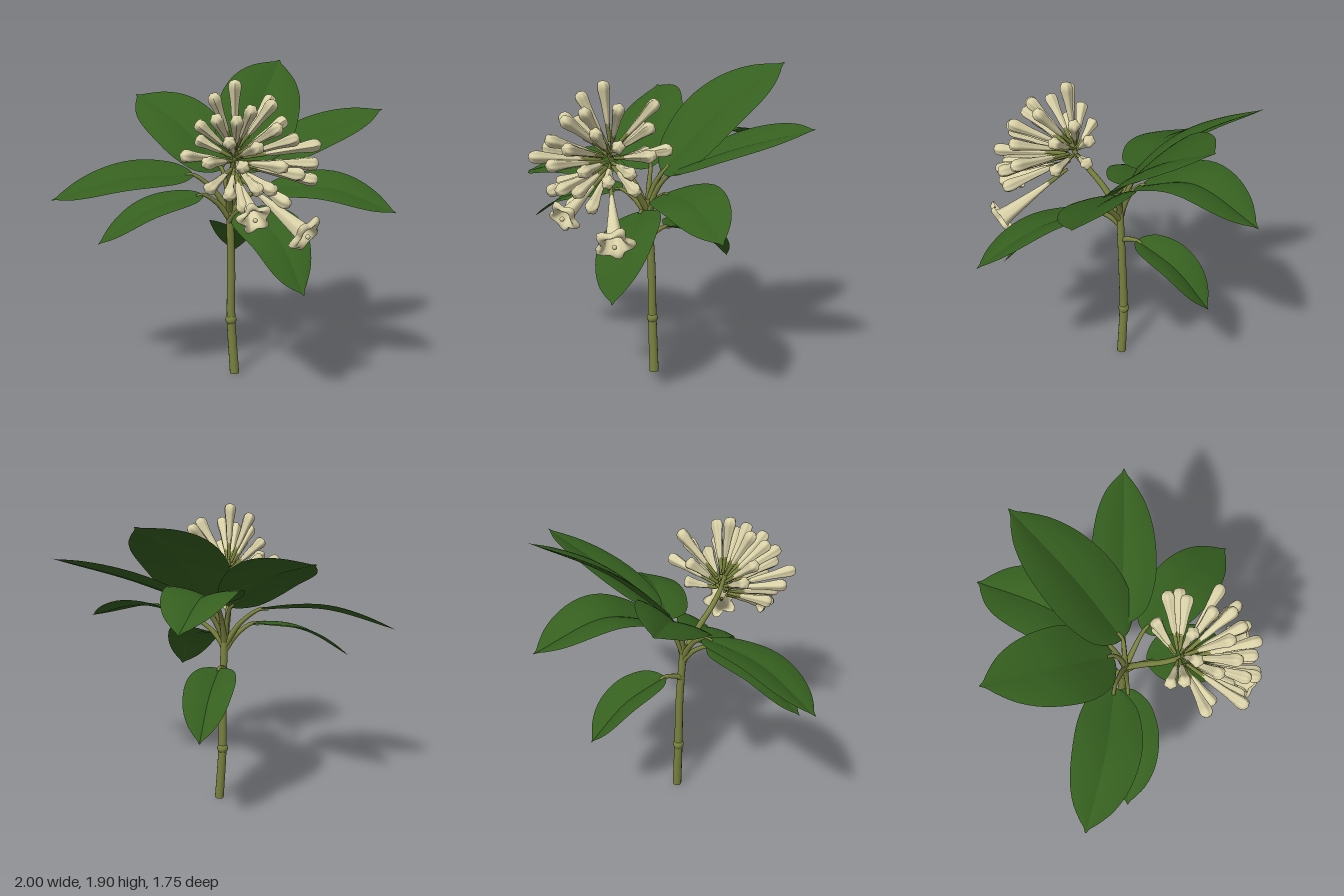
import * as THREE from 'three';

const mat = (name, color, side = THREE.FrontSide) => {
  const m = new THREE.MeshStandardMaterial({ color, side });
  m.name = name;
  return m;
};
const V = (p) => new THREE.Vector3(...p);
const UP = new THREE.Vector3(0, 1, 0);

export function createModel() {
  const leafGreen = mat('leafGreen', 0x355f1f, THREE.DoubleSide);
  const stemOlive = mat('stemOlive', 0x79813e);
  const cream = mat('cream', 0xd8d0a6, THREE.DoubleSide);
  const root = new THREE.Group();
  root.name = 'floweringSprig';

  const add = (parent, name, geometry, material) => {
    const mesh = new THREE.Mesh(geometry, material);
    mesh.name = name;
    parent.add(mesh);
    return mesh;
  };

  // Round tube along a smooth path, tapering from r0 to r1
  const taperedTube = (points, r0, r1, steps = 16, sides = 10) => {
    const curve = new THREE.CatmullRomCurve3(points.map(V));
    const g = new THREE.TubeGeometry(curve, steps, 1, sides);
    const pos = g.attributes.position;
    const v = new THREE.Vector3();
    for (let i = 0; i < pos.count; i++) {
      const t = Math.floor(i / (sides + 1)) / steps;
      const c = curve.getPointAt(t);
      v.fromBufferAttribute(pos, i).sub(c).multiplyScalar(r0 + (r1 - r0) * t).add(c);
      pos.setXYZ(i, v.x, v.y, v.z);
    }
    return g;
  };

  // Main stem with a swollen node and a cut base
  add(root, 'stem', taperedTube([[0.07, 0, 0.069], [0.048, 0.35, 0.065], [0.048, 0.7, 0.072], [0.038, 1.12, 0.095]], 0.029, 0.022, 24, 12), stemOlive);
  add(root, 'stemBase', new THREE.CircleGeometry(0.029, 12).rotateX(Math.PI / 2).translate(0.07, 0.001, 0.069), stemOlive);
  const node = add(root, 'stemNode', new THREE.SphereGeometry(0.035, 14, 10), stemOlive);
  node.position.set(0.047, 0.35, 0.064);

  // Half outline of a leaf: distance along the midrib, relative half width
  const outline = new THREE.SplineCurve([
    [0, 0.03], [0.025, 0.34], [0.12, 0.75], [0.3, 0.98], [0.48, 1],
    [0.67, 0.87], [0.82, 0.61], [0.92, 0.29], [0.965, 0.1], [1, 0.015],
  ].map(([t, w]) => new THREE.Vector2(t, w)));

  // One half of a blade, folded up along the midrib and rounded over at the edge
  const halfBlade = (curve, side, halfWidth, fold, sign) => {
    const N = 32, M = 6, position = [], index = [];
    for (let i = 0; i <= N; i++) {
      const o = outline.getPoint(i / N);
      const t = THREE.MathUtils.clamp(o.x, 0, 1);
      const c = curve.getPointAt(t);
      const normal = new THREE.Vector3().crossVectors(curve.getTangentAt(t), side).normalize();
      if (normal.y < 0) normal.negate();
      for (let j = 0; j <= M; j++) {
        const s = j / M;
        const w = Math.max(o.y, 0) * halfWidth * s;
        const p = c.clone().addScaledVector(side, sign * w).addScaledVector(normal, w * (fold - 0.22 * s));
        position.push(p.x, p.y, p.z);
        if (i < N && j < M) {
          const a = i * (M + 1) + j, b = a + M + 1;
          if (sign > 0) index.push(a, a + 1, b, b, a + 1, b + 1);
          else index.push(a, b, a + 1, b, b + 1, a + 1);
        }
      }
    }
    const g = new THREE.BufferGeometry();
    g.setAttribute('position', new THREE.Float32BufferAttribute(position, 3));
    g.setIndex(index);
    g.computeVertexNormals();
    return g;
  };

  // Leaves: stalk height on stem, blade base, middle, tip, half width, roll of the rear edge, fold
  const leaves = [
    ['backLeaf', 1.05, [0.05, 1.33, -0.07], [0.05, 1.47, -0.45], [0.08, 1.36, -0.88], 0.215, 0, 0.42],
    ['topLeaf', 1.08, [0.11, 1.28, 0.04], [0.215, 1.63, -0.31], [0.34, 1.9, -0.74], 0.262, 0.33, 0.32],
    ['backRightLeaf', 1.06, [-0.01, 1.29, 0.03], [-0.29, 1.54, -0.2], [-0.59, 1.69, -0.5], 0.228, 0.45, 0.32],
    ['backLeftLeaf', 1.06, [0.19, 1.31, 0.0], [0.57, 1.48, -0.15], [0.98, 1.62, -0.32], 0.2, 0.35, 0.32],
    ['leftLeaf', 1.02, [0.24, 1.19, 0.12], [0.62, 1.22, 0.24], [1.0, 1.1, 0.37], 0.185, 0.3, 0.32],
    ['frontLeftLeaf', 0.98, [0.11, 1.07, 0.2], [0.32, 0.98, 0.46], [0.47, 0.7, 0.69], 0.18, 0.3, 0.32],
    ['rightLeaf', 1.03, [-0.18, 1.27, 0.11], [-0.57, 1.26, 0.22], [-1.0, 1.14, 0.28], 0.2, 0.28, 0.32],
    ['frontRightLeaf', 1.0, [-0.12, 1.16, 0.17], [-0.43, 1.09, 0.32], [-0.71, 0.91, 0.42], 0.165, 0.15, 0.3],
    ['lowerLeaf', 0.87, [0.045, 0.92, -0.04], [0.045, 0.825, -0.33], [0.045, 0.63, -0.57], 0.148, 0, 0.55],
  ];
  for (const [name, y, base, mid, tip, halfWidth, roll, fold] of leaves) {
    const leaf = new THREE.Group();
    leaf.name = name;
    root.add(leaf);
    const side = new THREE.Vector3(tip[2] - base[2], 0, base[0] - tip[0]).normalize();
    if (side.z > 0) side.negate();
    side.y = roll;
    side.normalize();
    const curve = new THREE.CatmullRomCurve3([base, mid, tip].map(V));
    for (const sign of [1, -1]) add(leaf, 'blade', halfBlade(curve, side, halfWidth, fold, sign), leafGreen);
    const start = [0.038, y, 0.09];
    const bend = start.map((s, i) => s + (base[i] - s) * (i === 1 ? 0.62 : 0.45));
    add(leaf, 'stalk', taperedTube([start, bend, base, curve.getPointAt(0.06).toArray()], 0.02, 0.01, 14, 8), stemOlive);
  }

  // Flower head
  const centre = V([0.078, 1.39, 0.395]);
  const head = new THREE.Group();
  head.name = 'flowerHead';
  root.add(head);
  add(head, 'headStalk', taperedTube([[0.038, 1.04, 0.09], [0.04, 1.2, 0.2], [0.055, 1.31, 0.31], [0.078, 1.4, 0.39], [0.085, 1.5, 0.43]], 0.021, 0.014), stemOlive);

  // Lathe of unit height with five ridges; lobes gives their depth by radius
  const ridgedLathe = (profile, lobes) => {
    const curve = new THREE.SplineCurve(profile.map(([r, y]) => new THREE.Vector2(r, y)));
    const points = curve.getPoints(16).map((p) => new THREE.Vector2(Math.max(p.x, 0), p.y));
    const g = new THREE.LatheGeometry(points, 30);
    const pos = g.attributes.position;
    for (let i = 0; i < pos.count; i++) {
      const x = pos.getX(i), z = pos.getZ(i);
      const k = 1 + lobes(Math.hypot(x, z)) * Math.cos(5 * Math.atan2(x, z));
      pos.setX(i, x * k);
      pos.setZ(i, z * k);
    }
    g.computeVertexNormals();
    return g;
  };
  const budShape = ridgedLathe([[0.012, 0], [0.018, 0.2], [0.023, 0.5], [0.031, 0.73], [0.035, 0.86], [0.026, 0.96], [0, 1]], () => 0.1);
  // Trumpet whose rim spreads into five curled petals
  const trumpetShape = ridgedLathe(
    [[0.013, 0], [0.024, 0.3], [0.037, 0.6], [0.049, 0.86], [0.064, 0.97], [0.082, 1], [0.095, 0.97], [0.098, 0.91]],
    (r) => (r > 0.055 ? 0.05 + (r - 0.055) * 4 : 0.05),
  );
  const stalkShape = new THREE.CylinderGeometry(0.014, 0.009, 1, 8).translate(0, 0.5, 0);

  // A group aimed at a tip, rooted along the head's axis
  const aimed = (name, tip) => {
    const spread = V(tip).sub(centre).multiply(V([0.1, 0.25, 0.12]));
    const origin = centre.clone().add(spread);
    const d = V(tip).sub(origin);
    const group = new THREE.Group();
    group.name = name;
    group.position.copy(origin);
    group.quaternion.setFromUnitVectors(UP, d.clone().normalize());
    head.add(group);
    return [group, d.length()];
  };

  const budTips = [
    [0.08, 1.86, 0.45], [-0.04, 1.79, 0.53], [0.29, 1.75, 0.22], [0.18, 1.73, 0.66], [-0.02, 1.68, 0.67],
    [0.3, 1.75, 0.5], [-0.13, 1.63, 0.5], [-0.2, 1.47, 0.68], [-0.14, 1.53, 0.42], [-0.06, 1.46, 0.86],
    [0.06, 1.57, 0.82], [0.14, 1.44, 0.87], [0.22, 1.54, 0.81], [0.33, 1.63, 0.69], [0.43, 1.56, 0.6],
    [0.56, 1.51, 0.47], [0.54, 1.42, 0.6], [0.36, 1.43, 0.8], [0.54, 1.32, 0.57], [0.45, 1.5, 0.25],
    [-0.06, 1.28, 0.68], [0.06, 1.27, 0.82], [0.22, 1.31, 0.86], [0.38, 1.22, 0.76], [0.37, 1.63, 0.32],
    [0.17, 1.6, 0.2], [0.2, 1.45, 0.2], [0.1, 1.68, 0.74], [0.46, 1.37, 0.7], [0.3, 1.3, 0.8], [0.14, 1.18, 0.74],
  ];
  for (const tip of budTips) {
    const [bud, length] = aimed('bud', tip);
    add(bud, 'budStalk', stalkShape, stemOlive).scale.y = length * 0.3;
    const body = add(bud, 'budBody', budShape, cream);
    body.position.y = length * 0.27;
    body.scale.y = length * 0.73;
  }

  // Open flowers
  for (const [tip, size] of [[[0.485, 1.03, 0.68], 1], [[0.2, 1.15, 0.82], 0.85]]) {
    const [flower, length] = aimed('openFlower', tip);
    add(flower, 'flowerStalk', stalkShape, stemOlive).scale.y = length * 0.3;
    const trumpet = add(flower, 'trumpet', trumpetShape, cream);
    trumpet.position.y = length * 0.27;
    trumpet.scale.set(size, length * 0.73, size);
    const style = add(flower, 'style', new THREE.SphereGeometry(0.014, 10, 8), cream);
    style.position.y = length;
  }
  return root;
}
